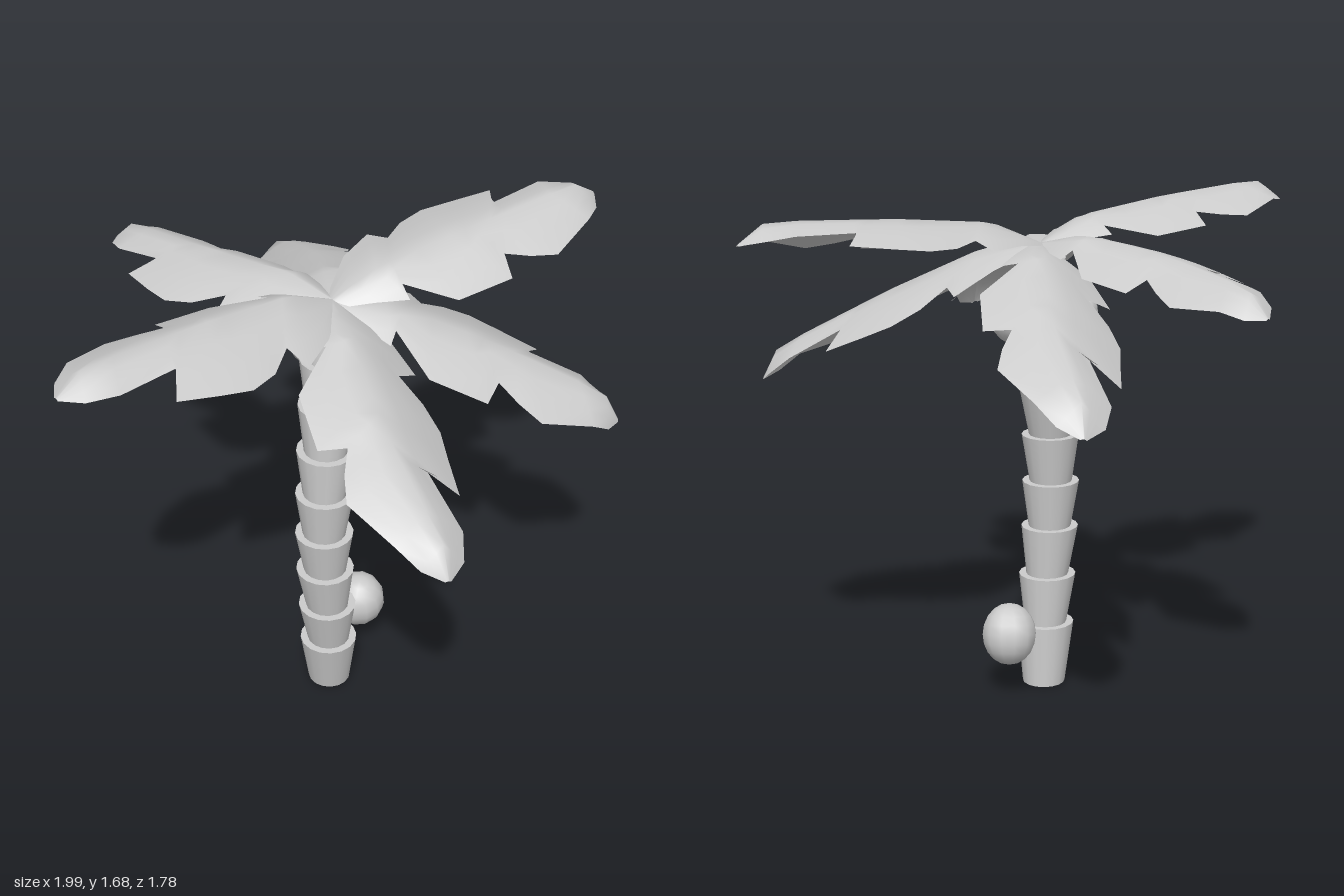
import * as THREE from 'three';

const grey = new THREE.MeshStandardMaterial({ color: 0xcccccc });
const leafGrey = new THREE.MeshStandardMaterial({ color: 0xcccccc, side: THREE.DoubleSide });

// Frond rows: [rib s, right edge s, right width, left edge s, left width]
const ROWS = [
  [0, 0, 0.03, 0, 0.03],
  [0.08, 0.1, 0.08, 0.15, 0.165],
  [0.15, 0.196, 0.127, 0.285, 0.235],
  [0.2, 0.2, 0.076, 0.305, 0.155],
  [0.3, 0.34, 0.185, 0.4, 0.22],
  [0.42, 0.54, 0.19, 0.5, 0.245],
  [0.48, 0.56, 0.113, 0.6, 0.225],
  [0.58, 0.64, 0.15, 0.737, 0.193],
  [0.64, 0.73, 0.178, 0.67, 0.1],
  [0.82, 0.9, 0.118, 0.873, 0.116],
  [0.93, 0.975, 0.07, 0.965, 0.075],
  [1.016, 1.016, 0.01, 1.016, 0.01],
];

// Height of the midrib along the frond, curling down at the tip
const RIB = [[0, 0], [0.17, 0.075], [0.5, 0.105], [0.92, 0.122], [1.02, 0.055]];
function ribHeight(s) {
  for (let i = 1; i < RIB.length; i++) {
    const [s0, y0] = RIB[i - 1], [s1, y1] = RIB[i];
    if (s <= s1) return y0 + (y1 - y0) * (s - s0) / (s1 - s0);
  }
  return RIB[RIB.length - 1][1];
}

// Ridged leaf along +x with forward-pointing teeth, bowed sideways
function frondGeometry(bow) {
  const half = 3, cols = half * 2 + 1;
  const pos = [], index = [];
  ROWS.forEach(([rib, sR, wR, sL, wL], i) => {
    for (let j = -half; j <= half; j++) {
      const t = Math.abs(j) / half;
      const s = THREE.MathUtils.lerp(rib, j > 0 ? sR : sL, t);
      const w = t * (j > 0 ? wR : -wL);
      const y = ribHeight(s) - 0.44 * Math.abs(w) * (0.6 + 0.4 * t);
      pos.push(s, y, w + bow * Math.sin(Math.PI * Math.min(s, 1)));
    }
    if (i === 0) return;
    for (let j = 0; j < cols - 1; j++) {
      const a = (i - 1) * cols + j, b = a + cols;
      index.push(a, a + 1, b, b, a + 1, b + 1);
    }
  });
  const g = new THREE.BufferGeometry();
  g.setAttribute('position', new THREE.Float32BufferAttribute(pos, 3));
  g.setIndex(index);
  g.computeVertexNormals();
  return g;
}

function makeTrunk() {
  const trunk = new THREE.Group();
  trunk.name = 'trunk';
  // Joint centres along the bent stem
  const joints = [
    [-0.03, 0, 0.07], [-0.055, 0.21, 0.087], [-0.075, 0.38, 0.097], [-0.09, 0.55, 0.1],
    [-0.097, 0.71, 0.102], [-0.095, 0.875, 0.102], [-0.078, 1.035, 0.093],
    [-0.057, 1.2, 0.082], [-0.033, 1.36, 0.068], [-0.005, 1.5, 0.058],
  ];
  for (let i = 0; i < joints.length - 1; i++) {
    const [ax, ay, az] = joints[i], [bx, by, bz] = joints[i + 1], h = by - ay;
    const rTop = i === joints.length - 2 ? 0.085 : 0.098;
    const geo = new THREE.CylinderGeometry(rTop, 0.073, h, 16);
    // Shear each flared ring towards the next joint, keeping its rims level
    const shear = new THREE.Matrix4().set(
      1, (bx - ax) / h, 0, 0,
      0, 1, 0, 0,
      0, (bz - az) / h, 1, 0,
      0, 0, 0, 1);
    const seg = new THREE.Mesh(geo.applyMatrix4(shear), grey);
    seg.name = 'trunkSegment' + (i + 1);
    seg.position.set((ax + bx) / 2, (ay + by) / 2, (az + bz) / 2);
    trunk.add(seg);
  }
  return trunk;
}

export function createModel() {
  const model = new THREE.Group();
  model.name = 'palmTree';
  model.add(makeTrunk());

  // Fronds: [direction x, direction z, pitch, roll, bow, scale]
  const crown = new THREE.Group();
  crown.name = 'crown';
  crown.position.set(0, 1.55, 0.05);
  [
    [0.99, 0.29, 0.015, 0.18, 0.01, 1.02],
    [-1, -0.18, 0.015, 0, 0, 1.0],
    [-0.01, -1, -0.18, 0.1, -0.045, 0.935],
    [0.61, -0.77, -0.45, -0.2, 0.05, 1.03],
    [0.62, 0.7, -0.52, 0.12, -0.01, 1.03],
    [-0.49, 0.83, -0.43, -0.22, 0.05, 1.02],
  ].forEach(([x, z, pitch, roll, bow, size], i) => {
    const frond = new THREE.Mesh(frondGeometry(bow), leafGrey);
    frond.name = 'frond' + (i + 1);
    frond.rotation.set(roll, -Math.atan2(z, x), pitch, 'YZX');
    frond.scale.setScalar(size);
    crown.add(frond);
  });
  model.add(crown);

  // Coconuts: [x, y, z, radius, stretch, tilt]
  [
    [0.152, 0.225, 0.053, 0.093, 1.13, 0.2],
    [0.15, 1.345, 0.01, 0.093, 1.13, 0.1],
    [0.05, 1.355, -0.17, 0.065, 1.1, 0.2],
    [0.04, 1.32, -0.07, 0.07, 1.1, 0],
  ].forEach(([x, y, z, r, stretch, tilt], i) => {
    const nut = new THREE.Mesh(new THREE.SphereGeometry(r, 12, 10), grey);
    nut.name = i === 0 ? 'fallenCoconut' : 'coconut' + i;
    nut.position.set(x, y, z);
    nut.scale.y = stretch;
    nut.rotation.set(tilt, 0, tilt);
    model.add(nut);
  });
  return model;
}
